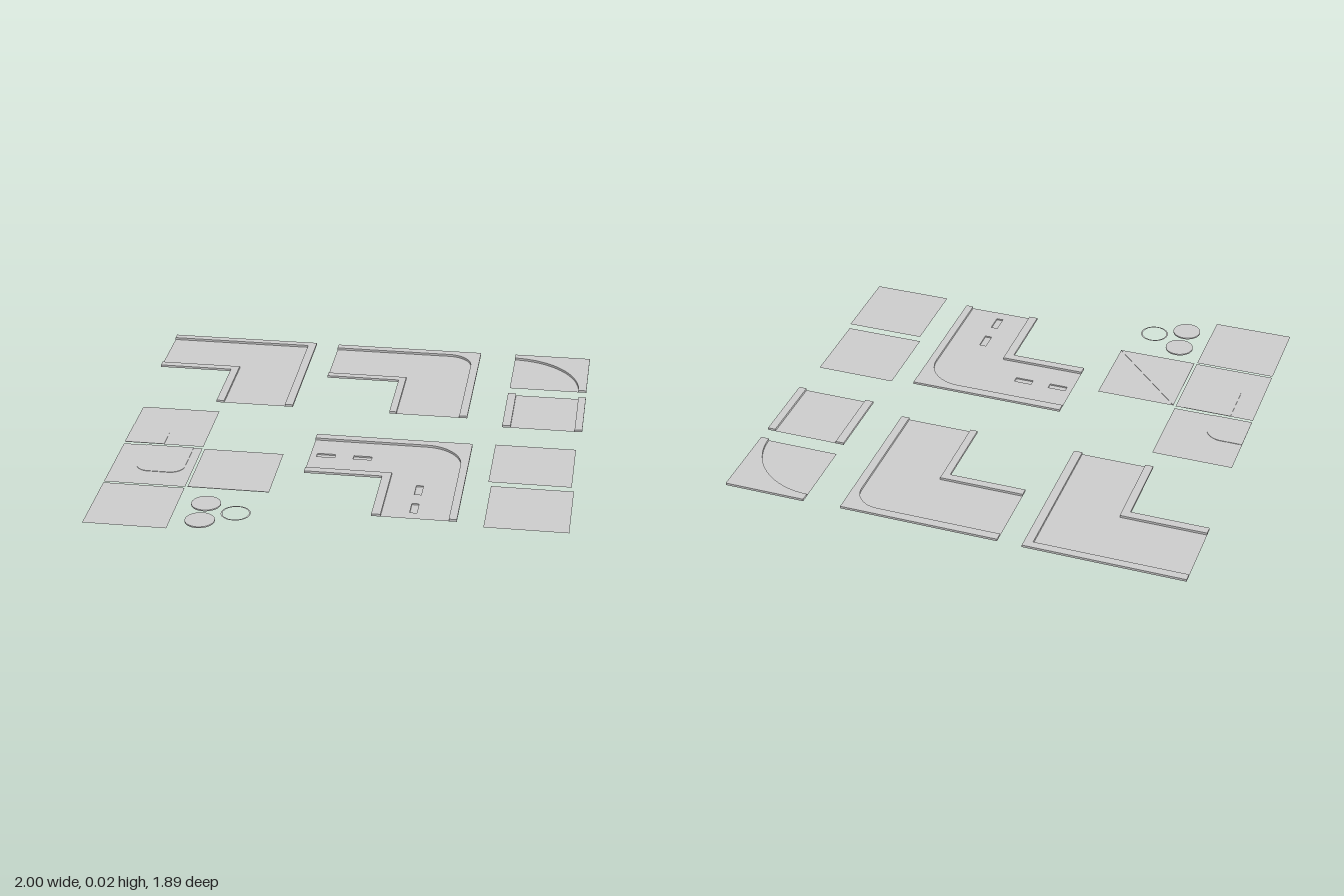
import * as THREE from 'three';

const ROAD = 0.006, KERB = 0.016, GROUND = 0.01;
const mat = new THREE.MeshStandardMaterial({ color: 0xcccccc, flatShading: true, side: THREE.DoubleSide });

export function createModel() {
  const root = new THREE.Group();

  const add = (name, geo, parent = root) => {
    const m = new THREE.Mesh(geo, mat);
    m.name = name;
    parent.add(m);
    return m;
  };
  const group = (name) => {
    const g = new THREE.Group();
    g.name = name;
    root.add(g);
    return g;
  };
  // Outlines are given as [x, z] points on the ground
  const toShape = (pts) => new THREE.Shape(pts.map(([x, z]) => new THREE.Vector2(x, -z)));
  const rect = (x0, x1, z0, z1) => [[x0, z0], [x1, z0], [x1, z1], [x0, z1]];
  const arc = (cx, cz, r, a0, a1, n = 12) => Array.from({ length: n + 1 }, (_, i) => {
    const a = a0 + (a1 - a0) * i / n;
    return [cx + r * Math.cos(a), cz + r * Math.sin(a)];
  });
  const sheet = (name, pts, y, parent, holes = []) => {
    const s = toShape(pts);
    s.holes = holes.map(toShape);
    add(name, new THREE.ShapeGeometry(s).rotateX(-Math.PI / 2).translate(0, y, 0), parent);
  };
  const slab = (name, pts, y0, y1, parent) => add(name,
    new THREE.ExtrudeGeometry(toShape(pts), { depth: y1 - y0, bevelEnabled: false })
      .rotateX(-Math.PI / 2).translate(0, y0, 0), parent);
  const kerb = (pts, parent) => slab('kerb', pts, ROAD, KERB, parent);

  // L-shaped road: back arm and right arm with kerbs, outer bend of radius r
  // x: [left, inner edge, inner kerb, outer kerb, right], z: [back, back kerb, front kerb, front, end]
  const bend = (name, x, z, r, dashes = []) => {
    const g = group(name);
    const [xl, xi, xk, xo, xr] = x, [zb, zk, zf, zi, ze] = z;
    sheet('roadSurface', [[xl, zb], [xr, zb], [xr, ze], [xi, ze], [xi, zi], [xl, zi]], ROAD, g, dashes.map((d) => rect(...d)));
    const curve = r ? arc(xo - r, zk + r, r, -Math.PI / 2, 0) : [[xo, zk]];
    kerb([[xl, zb], [xr, zb], [xr, ze], [xo, ze], ...curve.reverse(), [xl, zk]], g);
    kerb([[xl, zf], [xk, zf], [xk, ze], [xi, ze], [xi, zi], [xl, zi]], g);
    // Sunken lane dashes: boxes without their top face
    for (const [x0, x1, z0, z1] of dashes) {
      const pan = new THREE.BoxGeometry(x1 - x0, ROAD, z1 - z0);
      pan.setIndex(Array.from(pan.index.array).filter((_, i) => i < 12 || i > 17));
      add('laneDash', pan.translate((x0 + x1) / 2, ROAD / 2, (z0 + z1) / 2), g);
    }
  };
  bend('squareCornerRoad', [-1, -0.665, -0.63, -0.35, -0.313], [-0.948, -0.913, -0.631, -0.594, -0.256], 0);
  bend('roundedCornerRoad', [-0.206, 0.128, 0.16, 0.444, 0.48], [-0.944, -0.906, -0.623, -0.588, -0.251], 0.11);
  bend('dashedCornerRoad', [-0.158, 0.177, 0.215, 0.497, 0.53], [0.019, 0.059, 0.337, 0.374, 0.711], 0.163, [
    [-0.13, -0.05, 0.185, 0.215], [0.03, 0.11, 0.185, 0.215],
    [0.33, 0.36, 0.42, 0.5], [0.33, 0.36, 0.58, 0.66],
  ]);

  // Single tile with a sweeping quarter bend
  const curved = group('curvedRoadTile');
  sheet('roadSurface', rect(0.644, 0.996, -0.949, -0.594), ROAD, curved);
  kerb([[0.644, -0.949], [0.996, -0.949], [0.996, -0.594],
    ...arc(0.644, -0.594, 0.316, 0, -Math.PI / 2, 24)], curved);

  // Single straight tile
  const straight = group('straightRoadTile');
  sheet('roadSurface', rect(0.642, 0.997, -0.521, -0.184), ROAD, straight);
  for (const [x0, x1] of [[0.642, 0.679], [0.963, 0.997]]) kerb(rect(x0, x1, -0.521, -0.184), straight);

  // Flat ground tiles
  for (const t of [
    [-0.981, -0.631, -0.152, 0.203], [-0.981, -0.631, 0.219, 0.578], [-0.981, -0.631, 0.588, 0.941],
    [-0.62, -0.273, 0.222, 0.578], [0.628, 0.979, 0, 0.353], [0.642, 0.99, 0.388, 0.749],
  ]) sheet('groundTile', rect(...t), GROUND);

  // Shallow patches on the ground tiles: rounded corner, rounded end, diagonal half
  const top = GROUND + 0.002;
  slab('cornerPatch', [[-0.981, 0.203], [-0.981, 0.025],
    ...arc(-0.886, 0.105, 0.08, -Math.PI / 2, 0), [-0.806, 0.203]], GROUND, top);
  slab('roundedPatch', [[-0.88, 0.219], [-0.67, 0.219],
    ...arc(-0.73, 0.4, 0.06, 0, Math.PI / 2), ...arc(-0.82, 0.4, 0.06, Math.PI / 2, Math.PI)], GROUND, top);
  slab('diagonalPatch', [[-0.62, 0.222], [-0.273, 0.578], [-0.62, 0.578]], GROUND, top);

  // Round covers and their rim
  for (const [x, z] of [[-0.516, 0.698], [-0.513, 0.842]]) {
    add('roundCover', new THREE.CylinderGeometry(0.062, 0.062, 0.006, 32)).position.set(x, 0.003, z);
  }
  add('coverRim', new THREE.RingGeometry(0.055, 0.062, 32).rotateX(-Math.PI / 2)).position.set(-0.377, 0.007, 0.77);

  return root;
}
